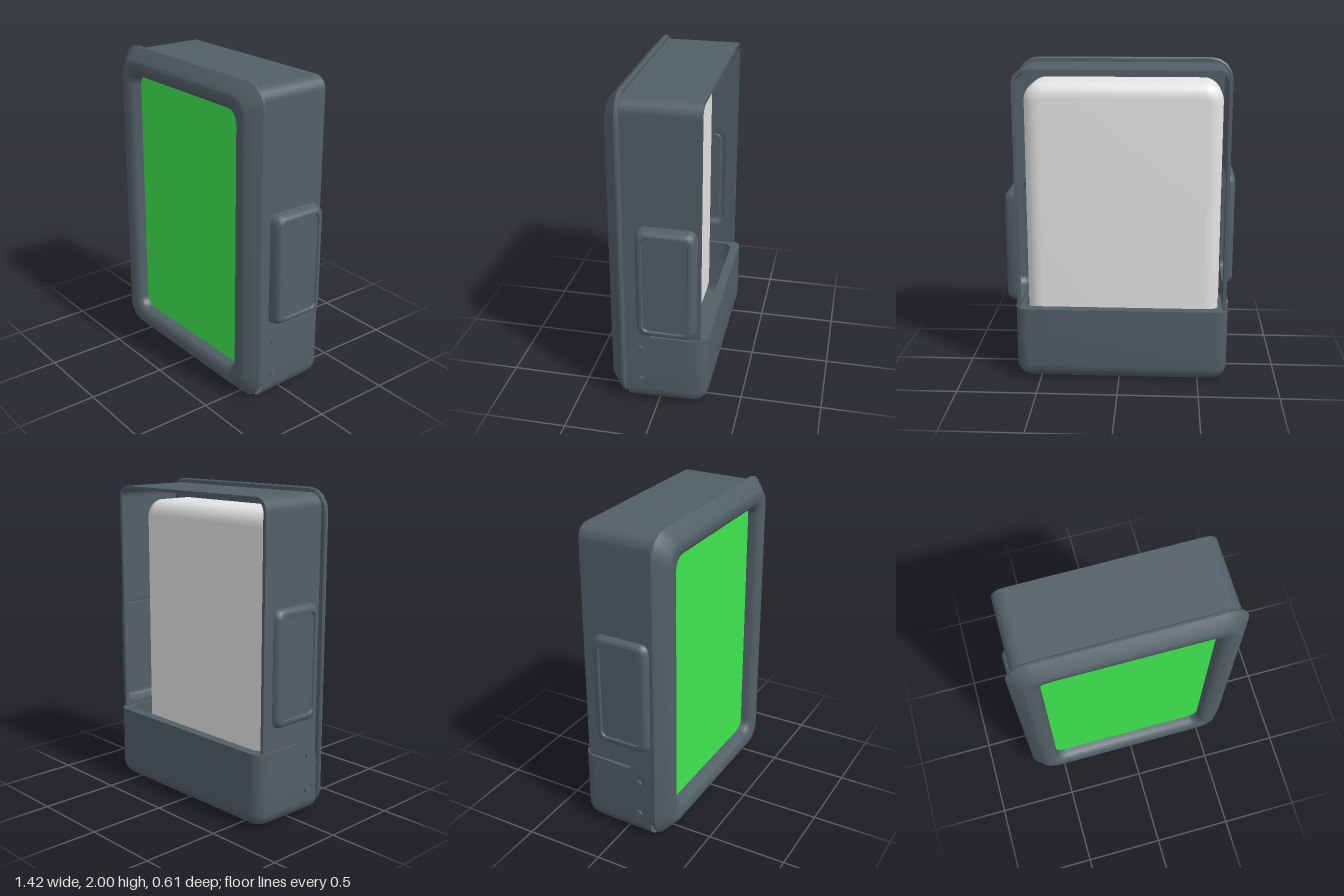
import * as THREE from 'three';
import { toCreasedNormals } from 'three/addons/utils/BufferGeometryUtils.js';

const CX = -0.015; // middle of the case

const mat = (name, color, side = THREE.FrontSide) => {
  const m = new THREE.MeshStandardMaterial({ color, side });
  m.name = name;
  return m;
};

// Skin a list of equally long point rows
function skin(rows, closed) {
  const n = rows[0].length, idx = [];
  for (let k = 0; k < rows.length - 1; k++) {
    for (let i = 0; i < (closed ? n : n - 1); i++) {
      const j = (i + 1) % n, a = k * n + i, b = k * n + j;
      idx.push(a, b, b + n, a, b + n, a + n);
    }
  }
  const g = new THREE.BufferGeometry();
  g.setAttribute('position', new THREE.Float32BufferAttribute(rows.flat(2), 3));
  g.setIndex(idx);
  return toCreasedNormals(g, 0.6);
}

// Outline of a rounded rectangle, counter-clockwise
function roundRect(hw, hh, r, seg = 6) {
  const pts = [];
  [[1, 1], [-1, 1], [-1, -1], [1, -1]].forEach(([sx, sy], q) => {
    for (let i = 0; i <= seg; i++) {
      const a = (q + i / seg) * Math.PI / 2;
      pts.push([sx * (hw - r) + r * Math.cos(a), sy * (hh - r) + r * Math.sin(a)]);
    }
  });
  return pts;
}

// Stack of rounded rectangles following a profile of [inset, height]
const loft = (hw, hh, r, profile, seg) => skin(profile.map(([d, z]) =>
  roundRect(hw - d, hh - d, r - d * 0.4, seg).map(([x, y]) => [x, y, z])), true);

const shapeOf = (pts) => new THREE.Shape(pts.map(([x, y]) => new THREE.Vector2(x, y)));

// Open-topped cup around the foot of the case, wrapped on the sides and back
function cupGeometry() {
  const HW = 0.682, ZB = -0.303, R = 0.1, T = 0.06, Y0 = 0.003;
  const row = (d, y, zf, sx = 1) => {
    const w = HW - d, zb = ZB + d, r = 0.08 - d * 0.3, half = [];
    for (let i = 0; i <= 5; i++) half.push([w, zf + (zb + r - zf) * i / 5]);
    for (let i = 1; i <= 6; i++) {
      const a = i / 6 * Math.PI / 2;
      half.push([w - r + r * Math.cos(a), zb + r - r * Math.sin(a)]);
    }
    // Sides draw in slightly towards the back
    const right = half.map(([x, z]) => [x * (1 - 0.05 * (0.19 - z)), z]);
    const left = right.map(([x, z]) => [-x, z]).reverse();
    return [...right, ...left].map(([x, z]) => [x * sx, y, z]);
  };
  const levels = [[R, Y0, 0.19, 0]]; // inset, y, front z, width factor
  for (let i = 0; i <= 6; i++) {
    const a = i / 6 * Math.PI / 2;
    levels.push([R * (1 - Math.sin(a)), Y0 + R * (1 - Math.cos(a)), 0.19, 1]);
  }
  for (let i = 0; i <= 8; i++) {
    const b = i / 8 * Math.PI / 2;
    levels.push([0, 0.33 + 0.15 * Math.sin(b), 0.04 + 0.15 * Math.cos(b), 1]);
  }
  const inner = levels.map(([d, y, z, s]) => [d + T, y < 0.12 ? y + 0.02 : y, z, s]).reverse();
  return skin([...levels, ...inner].map((l) => row(...l)), false);
}

export function createModel() {
  const group = new THREE.Group();
  const slate = mat('slate case', 0x525f67, THREE.DoubleSide);
  const green = mat('green screen', 0x3fe64f);
  const silver = mat('light grey device', 0xe4e4e4);
  const add = (name, geo, material, x, y, z) => {
    const m = new THREE.Mesh(geo, material);
    m.name = name;
    m.position.set(x, y, z);
    group.add(m);
    return m;
  };

  // Front bezel: sloped outside, soft crown, steep inner lip
  add('bezel', loft(0.69, 0.996, 0.14, [
    [0.175, 0.205], [0.008, 0.205], [0, 0.212], [0, 0.226], [0.07, 0.298], [0.085, 0.304],
    [0.11, 0.304], [0.14, 0.299], [0.16, 0.287], [0.17, 0.27], [0.173, 0.215],
  ], 4), slate, CX, 1.004, 0);

  // Screen and the device behind it
  add('screen', new THREE.ExtrudeGeometry(shapeOf(roundRect(0.525, 0.832, 0.075)),
    { depth: 0.006, bevelEnabled: false }), green, CX, 1.004, 0.22);
  const B = 0.1, BT = 0.08, BACK = -0.1, FRONT = 0.2;
  const device = new THREE.ExtrudeGeometry(shapeOf(roundRect(0.618 - B, 0.888 - B, 0.02)),
    { depth: 0.22, bevelEnabled: true, bevelSize: B, bevelThickness: BT, bevelSegments: 8 });
  device.translate(0, 0, BACK + BT);
  // Flatten the front so that only the back edges are rounded
  const dp = device.attributes.position;
  for (let i = 0; i < dp.count; i++) dp.setZ(i, Math.min(dp.getZ(i), FRONT));
  add('device', toCreasedNormals(device, 0.6), silver, CX, 0.988, 0);

  // Shell ends: a channel with rounded corners, used at the top and the bottom
  const W = 0.655, H = 0.1, R = 0.08, T = 0.02, Z0 = -0.26, D = 0.47;
  const end = new THREE.Shape();
  end.moveTo(W, 0);
  end.lineTo(W, H - R);
  end.absarc(W - R, H - R, R, 0, Math.PI / 2, false);
  end.absarc(R - W, H - R, R, Math.PI / 2, Math.PI, false);
  end.lineTo(-W, 0);
  end.lineTo(T - W, 0);
  end.absarc(R - W, H - R, R - T, Math.PI, Math.PI / 2, true);
  end.absarc(W - R, H - R, R - T, Math.PI / 2, 0, true);
  end.lineTo(W - T, 0);
  const endGeo = toCreasedNormals(
    new THREE.ExtrudeGeometry(end, { depth: D, bevelEnabled: false }), 0.6);
  add('shellTop', endGeo, slate, CX, 1.87, Z0);
  add('shellBottom', endGeo, slate, CX, 0.14, Z0).rotation.z = Math.PI;

  // Shell sides, each with an opening into a hollow raised pad
  const sides = [
    { name: 'left', s: 1, y: 0.86, z: -0.055, h: 0.068 },
    { name: 'right', s: -1, y: 0.975, z: -0.003, h: 0.038 },
  ];
  for (const { name, s, y, z, h } of sides) {
    // Local x runs along -z on the left wall and +z on the right wall
    const u = -s * z, u0 = s > 0 ? -0.21 : Z0;
    const wall = shapeOf([[u0, 0.14], [u0 + D, 0.14], [u0 + D, 1.87], [u0, 1.87]]);
    wall.holes.push(new THREE.Path(roundRect(0.178, 0.353, 0.05)
      .map(([px, py]) => new THREE.Vector2(px + u, py + y)).reverse()));
    const side = new THREE.ExtrudeGeometry(wall, { depth: T, bevelEnabled: false });
    add(name + 'ShellSide', side, slate, CX + s * (W - T), 0, 0).rotation.y = s * Math.PI / 2;

    // Raised rim around a slightly sunken panel
    const pad = loft(0.185, 0.36, 0.055, [
      [0, -0.004], [0.006, h * 0.4], [0.014, h * 0.75], [0.024, h * 0.95], [0.033, h],
      [0.047, h], [0.052, h - 0.01],
    ]);
    add(name + 'PadRim', pad, slate, CX + s * W, y, z).rotation.y = s * Math.PI / 2;
    const panel = new THREE.ShapeGeometry(shapeOf(roundRect(0.134, 0.309, 0.034)));
    add(name + 'PadPanel', panel, slate, CX + s * (W + h - 0.01), y, z).rotation.y = s * Math.PI / 2;

    // Rivets holding the foot cup
    for (const ry of [0.17, 0.395]) {
      const rivet = new THREE.CylinderGeometry(0.021, 0.023, 0.02, 16);
      add(name + 'Rivet', rivet, slate, CX + s * 0.682, ry, 0.11).rotation.z = -s * Math.PI / 2;
    }
  }

  add('footCup', cupGeometry(), slate, CX, 0, 0);
  return group;
}
